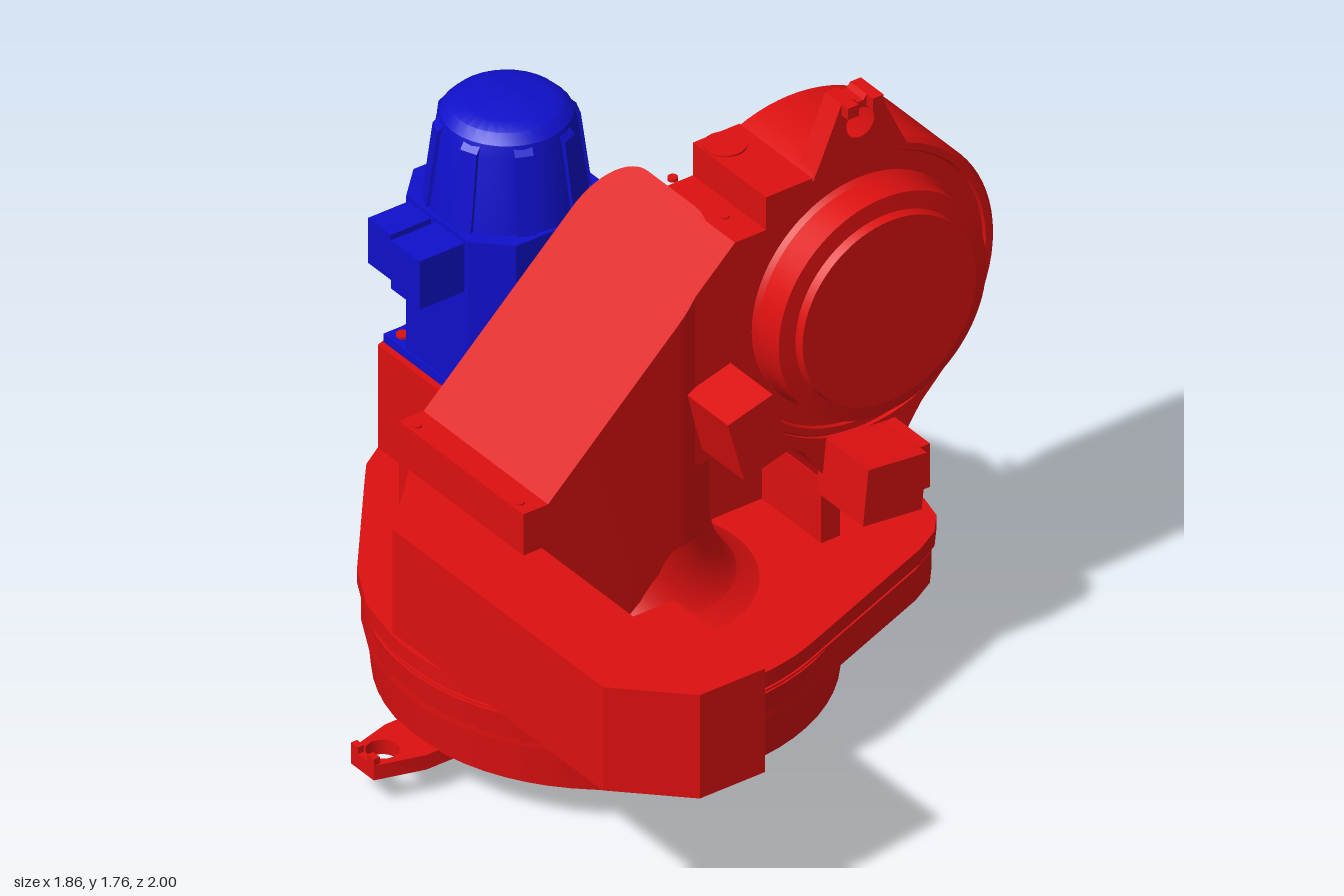
import * as THREE from 'three';
import { toCreasedNormals } from 'three/addons/utils/BufferGeometryUtils.js';

const red = new THREE.MeshStandardMaterial({ color: 0xdd1010 });
const blue = new THREE.MeshStandardMaterial({ color: 0x1010cc });

// Points along an arc, angles in degrees
function arc(cx, cy, r, a0, a1, n = 16) {
  return Array.from({ length: n + 1 }, (_, i) => {
    const a = THREE.MathUtils.degToRad(a0 + (a1 - a0) * i / n);
    return [cx + r * Math.cos(a), cy + r * Math.sin(a)];
  });
}

function shapeOf(pts, holes) {
  const shape = new THREE.Shape(pts.map(p => new THREE.Vector2(p[0], p[1])));
  for (const [x, y, r] of holes) shape.holes.push(new THREE.Path().absarc(x, y, r, 0, Math.PI * 2, true));
  return shape;
}

// Plan outline (x, z) raised from y0 to y1
function slab(pts, y0, y1, holes = []) {
  const s = shapeOf(pts.map(([x, z]) => [x, -z]), holes.map(([x, z, r]) => [x, -z, r]));
  return new THREE.ExtrudeGeometry(s, { depth: y1 - y0, bevelEnabled: false }).rotateX(-Math.PI / 2).translate(0, y0, 0);
}

// Front outline (x, y) running from z0 to z1
function plate(pts, z0, z1, holes = []) {
  return new THREE.ExtrudeGeometry(shapeOf(pts, holes), { depth: z1 - z0, bevelEnabled: false }).translate(0, 0, z0);
}

function lathe(pts, n = 64) {
  return new THREE.LatheGeometry(pts.map(p => new THREE.Vector2(p[0], p[1])), n);
}

function box(x0, x1, y0, y1, z0, z1) {
  return new THREE.BoxGeometry(x1 - x0, y1 - y0, z1 - z0).translate((x0 + x1) / 2, (y0 + y1) / 2, (z0 + z1) / 2);
}

function rod(x, y, z, r, h) {
  return new THREE.CylinderGeometry(r, r, h, 20).translate(x, y, z);
}

export function createModel() {
  const model = new THREE.Group();
  const add = (name, geo, mat = red) => {
    const mesh = new THREE.Mesh(toCreasedNormals(geo, 0.5), mat);
    mesh.name = name;
    model.add(mesh);
    return mesh;
  };
  const cx = -0.145, cz = -0.07;

  // Round mounting foot and tapered turntable
  add('turntable', lathe([[0, 0.06], [0.28, 0.06], [0.28, 0.03], [0.34, 0.03], [0.36, 0], [0.43, 0], [0.43, 0.05],
    [0.415, 0.06], [0.415, 0.075], [0.43, 0.085], [0.43, 0.12], [0.61, 0.12], [0.63, 0.33], [0, 0.33]]).translate(cx, 0, cz));
  for (let i = 0; i < 24; i++) {
    const a = i * Math.PI / 12;
    add('turntableBolt', rod(cx + 0.54 * Math.cos(a), 0.118, cz + 0.54 * Math.sin(a), 0.012, 0.01));
  }

  // Housing flange: round at the front, drawn out to the rear
  const rear = [[-0.28, -0.885], [-0.17, -0.92], [0.23, -0.975], [0.34, -0.94], [0.45, -0.85], [0.56, -0.69], [0.66, -0.53],
    [0.705, -0.43], [0.72, -0.35]];
  const outline = [...arc(cx, cz, 0.635, 68, 188, 30), [-0.74, -0.31], [-0.66, -0.46], [-0.4, -0.78], [-0.35, -0.84], ...rear,
    [0.72, 0.15], [0.7, 0.23], [0.65, 0.29], [0.57, 0.335]];
  const inset = k => outline.map(([x, z]) => [x * k, (z + 0.2) * k - 0.2]);
  add('housing', slab(inset(0.985), 0.24, 0.335));
  add('flangeGroove', slab(inset(0.975), 0.33, 0.36));
  add('flange', slab(outline, 0.355, 0.4));

  // Rear gearbox with a raised motor deck
  add('gearbox', slab([...rear, [0.72, -0.28], [0.68, -0.18], [0.6, -0.1], [-0.28, -0.1]], 0.4, 0.68));
  add('motorDeck', slab([[-0.28, -0.885], [-0.17, -0.92], [0.19, -0.92], [0.22, -0.89], [0.22, -0.62], [0.26, -0.56], [0.4, -0.53],
    [0.48, -0.48], [0.51, -0.4], [0.51, -0.1], [-0.28, -0.1]], 0.68, 0.72));
  for (const x of [0, 0.26]) add('rearTab', box(x - 0.04, x + 0.04, 0.6, 0.68, -1, -0.85));
  for (const [x, z, r] of [[-0.1, -0.8, 0.1], [0.2, -0.75, 0.12], [0.45, -0.5, 0.1]]) {
    add('underBoss', lathe([[0, 0.22], [r * 0.6, 0.22], [r * 0.6, 0.18], [r, 0.18], [r, 0.25]], 24).translate(x, 0, z));
  }

  // Sloping arm column with rounded right corners
  const slope = x => 0.9 + (x + 0.53) * 0.934;
  const column = slab([[-0.53, -0.345], ...arc(-0.05, -0.205, 0.14, -90, 0), ...arc(-0.11, 0, 0.2, 0, 90), [-0.53, 0.2]], 0.4, 1);
  const pos = column.attributes.position;
  for (let i = 0; i < pos.count; i++) if (pos.getY(i) > 0.7) pos.setY(i, slope(pos.getX(i)));
  column.computeVertexNormals();
  add('armColumn', column);
  add('armEndPlate', box(-0.61, -0.53, 0.4, 0.9, -0.345, 0.2));
  for (const z of [-0.3, 0.15]) {
    add('armBolt', rod(-0.585, 0.9, z, 0.014, 0.01));
    add('armBolt', rod(0.13, 1.47, z * 0.5, 0.014, 0.01));
  }
  add('columnFlare', lathe([[0.33, 0.4], [0.27, 0.43], [0.235, 0.48], [0.21, 0.54], [0.2, 0.6]]).translate(-0.11, 0, 0));

  // Arm web wrapping around the drum, arched underneath
  add('armWeb', plate([[-0.5, 0.82], [-0.5, slope(-0.5)], [0.08, 1.47], [0.18, 1.47], [0.18, 1.572], [0.33, 1.572],
    ...arc(0.49, 1.16, 0.43, 112, 318, 40), [0.68, 0.74], [0.62, 0.65], [0.59, 0.56], [0.4, 0.56], [0.37, 0.63], [0.3, 0.73],
    [0.21, 0.8], [0.1, 0.83], [0, 0.825]], -0.13, 0.19));
  add('armRib', box(0.38, 0.44, 0.4, 0.6, -0.12, 0.16));
  add('armBoss', rod(0.24, 1.5, -0.07, 0.058, 0.155));

  // Drum with stepped front cover and hollow back
  add('drum', lathe([[0, 0.1], [0.13, 0.1], [0.13, 0.02], [0.395, 0.02], [0.395, -0.13], [0.437, -0.13], [0.437, 0.17], [0.425, 0.182],
    [0.405, 0.182], [0.4, 0.175], [0.345, 0.175], [0.335, 0.19], [0.335, 0.28], [0.285, 0.285], [0.28, 0.31], [0, 0.31]], 80)
    .rotateX(Math.PI / 2).translate(0.49, 1.16, 0));
  const h = 0.22, c = 0.05;
  const square = [[h - c, -h + c, -90], [h - c, h - c, 0], [-h + c, h - c, 90], [-h + c, -h + c, 180]]
    .flatMap(([x, y, a]) => arc(0.49 + x, 1.16 + y, c, a, a + 90, 6));
  const boltHoles = [-1, 1].flatMap(i => [-1, 1].map(j => [0.49 + i * 0.17, 1.16 + j * 0.17, 0.018]));
  add('drumBackPlate', plate(square, -0.03, 0.03, [[0.49, 1.16, 0.13], ...boltHoles]));

  // Lifting eye on the drum
  add('liftingEye', plate([[0.34, 1.56], [0.36, 1.6], [0.43, 1.76], [0.47, 1.76], [0.48, 1.745], [0.5, 1.745], [0.51, 1.76],
    [0.545, 1.76], [0.62, 1.6], [0.64, 1.56]], 0.11, 0.182, [[0.49, 1.68, 0.045]]));
  for (const x of [0.43, 0.51]) add('liftingEyeLip', box(x, x + 0.035, 1.725, 1.76, 0.15, 0.21));

  // Tilted sensor blocks on the front
  for (const [x, y, w, t, a] of [[0.02, 0.985, 0.15, 0.2, 0.27], [0.46, 0.65, 0.19, 0.17, -0.1]]) {
    const block = add('sensorBlock', box(-w / 2, w / 2, -t / 2, t / 2, 0.17, 0.375));
    block.position.set(x, y, 0);
    block.rotation.z = a;
  }
  add('sensorStep', box(0.52, 0.595, 0.59, 0.725, 0.19, 0.345));

  // Cable box reaching forward on the right side
  add('sideBox', slab([[-0.61, -0.3], [-0.81, -0.1], [-0.81, 0.82], [-0.63, 1], [-0.42, 1], [-0.42, 0.6], [-0.55, 0.6],
    [-0.55, 0.2], [-0.61, 0.2]], 0.45, 0.772));

  // Eye lug on the right of the base
  add('baseLug', slab([[-0.93, -0.12], [-0.93, -0.02], [-0.79, 0.02], [-0.55, 0.02], [-0.55, -0.16], [-0.79, -0.16]], 0.08, 0.125,
    [[-0.865, -0.07, 0.045]]));
  for (const z of [-0.12, -0.05]) add('baseLugTip', box(-0.93, -0.91, 0.12, 0.145, z, z + 0.03));

  // Bracket foot on the left of the base
  add('footWeb', plate([[0.4, 0.12], [0.62, 0.12], [0.64, 0.035], [0.82, 0.035], [0.82, 0.15], [0.71, 0.26], [0.4, 0.26]], -0.105, -0.03));
  add('footBlock', box(0.64, 0.825, 0.033, 0.145, -0.15, 0.015));
  add('footTop', plate([[0.45, 0.2], [0.72, 0.2], [0.7, 0.26], [0.45, 0.26]], -0.15, 0.015));

  // Motor: square flange, chamfered body, ribbed cap, two connector boxes
  const mx = -0.03, mz = -0.66;
  add('motorFlange', box(mx - 0.23, mx + 0.23, 0.715, 0.745, mz - 0.228, mz + 0.228), blue);
  for (const i of [-1, 1]) for (const j of [-1, 1]) add('motorBolt', rod(mx + i * 0.195, 0.745, mz + j * 0.19, 0.018, 0.015));
  const w = 0.225, k = 0.135;
  const octagon = [[w, -k], [w, k], [k, w], [-k, w], [-w, k], [-w, -k], [-k, -w], [k, -w]].map(([x, z]) => [x + mx, z + mz]);
  add('motorBody', slab(octagon, 0.74, 1.222), blue);
  add('motorCap', lathe([[0.215, 1.22], [0.185, 1.44], [0.175, 1.475], [0.15, 1.5], [0.11, 1.512], [0, 1.512]], 32)
    .translate(mx, 0, mz), blue);
  for (let i = 0; i < 8; i++) {
    const rib = add('motorCapRib', plate([[0.15, 1.22], [0.222, 1.22], [0.192, 1.45], [0.15, 1.49]], -0.025, 0.025), blue);
    rib.position.set(mx, 0, mz);
    rib.rotation.y = (i + 0.5) * Math.PI / 4;
  }
  add('connectorBox', box(-0.385, -0.22, 1.07, 1.21, -0.785, -0.685), blue);
  add('connectorBox', box(-0.4, -0.22, 1.06, 1.21, -0.665, -0.54), blue);

  return model;
}
